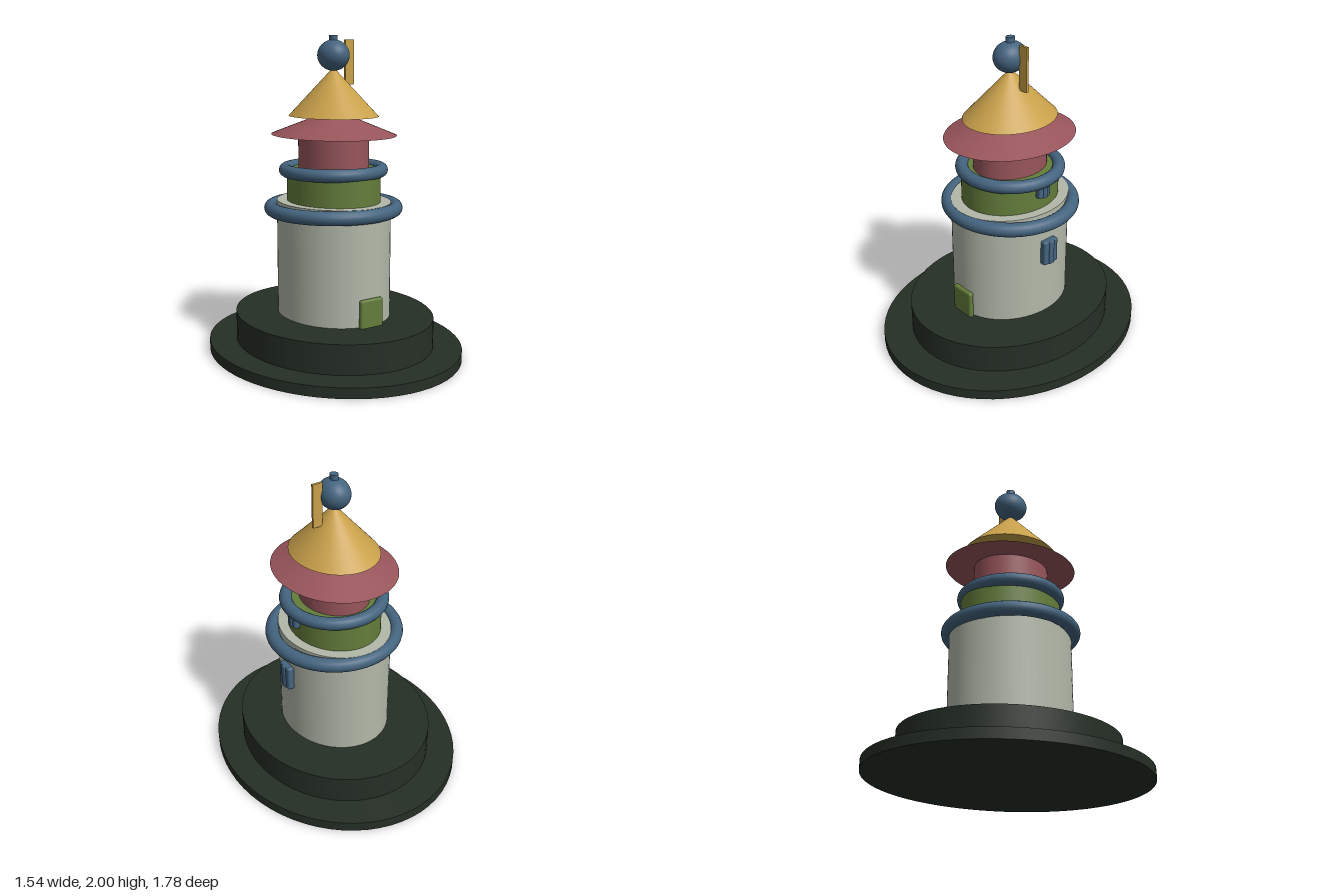
import * as THREE from 'three';
import { RoundedBoxGeometry } from 'three/addons/geometries/RoundedBoxGeometry.js';

const DEPTH = 1.16; // the tower is oval: deeper than it is wide

function paint(name, color) {
  const m = new THREE.MeshStandardMaterial({ color });
  m.name = name;
  return m;
}

export function createModel() {
  const model = new THREE.Group();
  model.name = 'lighthouse';
  const stone = paint('dark stone', 0x262f26);
  const plaster = paint('pale plaster', 0xb2b8a9);
  const green = paint('leaf green', 0x647d3b);
  const red = paint('faded red', 0x98555b);
  const gold = paint('gold', 0xc8a04a);
  const blue = paint('slate blue', 0x44647f);

  function add(name, geometry, material, x = 0, y = 0, z = 0) {
    const mesh = new THREE.Mesh(geometry, material);
    mesh.name = name;
    mesh.position.set(x, y, z);
    model.add(mesh);
    return mesh;
  }

  // Oval drum or cone between two heights
  function drum(name, material, rTop, rBottom, y0, y1) {
    const g = new THREE.CylinderGeometry(rTop, rBottom, y1 - y0, 64);
    g.scale(1, 1, DEPTH);
    return add(name, g, material, 0, (y0 + y1) / 2, 0);
  }

  // Stepped base and tower storeys
  drum('lowerBase', stone, 0.768, 0.768, 0, 0.065);
  drum('upperBase', stone, 0.6, 0.6, 0.065, 0.25);
  drum('tower', plaster, 0.341, 0.341, 0.25, 0.975);
  drum('upperStorey', green, 0.28, 0.28, 0.975, 1.18);
  drum('lanternRoom', red, 0.21, 0.21, 1.18, 1.39);

  // Two-tier roof
  drum('roofBrim', red, 0.1, 0.372, 1.39, 1.505);
  drum('roofCone', gold, 0, 0.266, 1.505, 1.805);

  // Round gallery rings
  for (const [name, outer, tube, y] of [
    ['lowerRing', 0.437, 0.044, 0.93],
    ['upperRing', 0.342, 0.04, 1.17],
  ]) {
    const ring = new THREE.TorusGeometry(outer - tube, tube, 16, 72);
    ring.rotateX(Math.PI / 2);
    add(name, ring, blue, 0, y, 0);
  }

  // Ball finial with a short tip
  const ball = new THREE.SphereGeometry(0.095, 40, 24);
  ball.scale(1, 1, DEPTH);
  add('finialBall', ball, blue, 0, 1.877, 0);
  drum('finialTip', blue, 0.025, 0.025, 1.95, 2);

  // Upright vane beside the ball
  add('vane', new THREE.BoxGeometry(0.064, 0.277, 0.016), gold, 0.117, 1.832, 0);

  // Door at the front
  add('door', new RoundedBoxGeometry(0.166, 0.19, 0.034, 3, 0.015), green, 0, 0.33, 0.403);

  // Ribbed windows on the left side
  for (const [name, x, y, h, w] of [
    ['lowerWindow', 0.356, 0.703, 0.165, 0.112],
    ['upperWindow', 0.291, 1.11, 0.1, 0.09],
  ]) {
    add(name, new RoundedBoxGeometry(0.046, h, w, 3, 0.012), blue, x, y, 0);
    add(name + 'Rib', new RoundedBoxGeometry(0.05, h, w * 0.36, 2, 0.008), blue, x + 0.006, y, 0);
  }

  return model;
}
